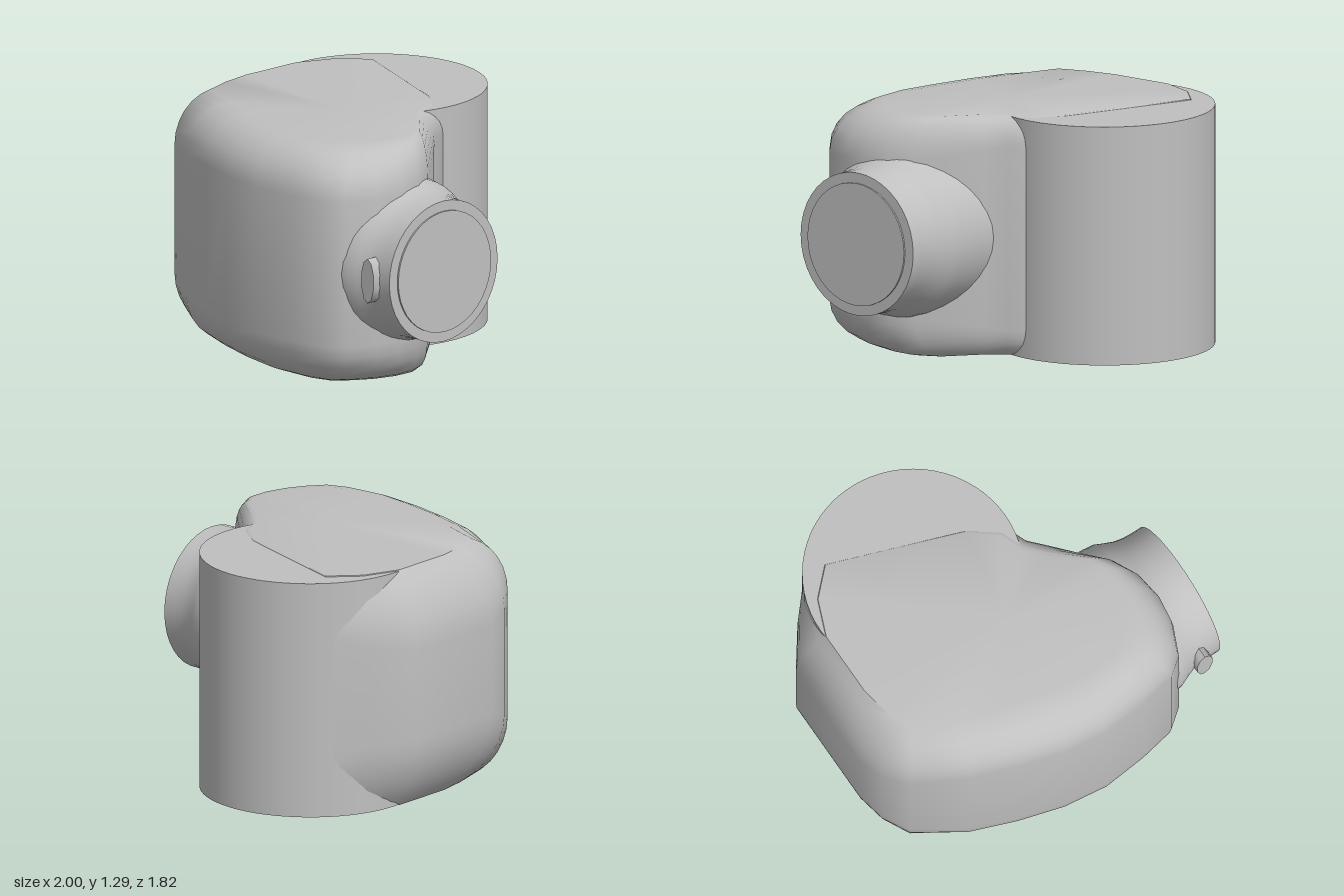
import * as THREE from 'three';
import { toCreasedNormals } from 'three/addons/utils/BufferGeometryUtils.js';

const H = 1.295;

// Plan stations: outer x, z | flat-top x, z | edge height | start angle of the edge arc in degrees
const STATIONS = [
  [-0.69, -0.72, -0.62, -0.62, 0.30, 45],
  [-0.85, -0.54, -0.76, -0.48, 0.38, 48],
  [-1.00, -0.33, -0.84, -0.28, 0.40, 50],
  [-1.00, 0.28, -0.84, 0.08, 0.40, 50],
  [-0.96, 0.43, -0.81, 0.25, 0.36, 35],
  [-0.87, 0.56, -0.76, 0.40, 0.30, 15],
  [-0.60, 0.72, -0.50, 0.50, 0.26, 0],
  [-0.35, 0.81, -0.28, 0.57, 0.25, 0],
  [-0.10, 0.88, -0.05, 0.62, 0.25, 0],
  [0.15, 0.908, 0.15, 0.66, 0.25, 0],
  [0.40, 0.88, 0.36, 0.65, 0.25, 0],
  [0.60, 0.84, 0.44, 0.61, 0.25, 0],
  [0.70, 0.76, 0.50, 0.52, 0.25, 0],
  [0.77, 0.60, 0.55, 0.44, 0.25, 0],
  [0.79, 0.45, 0.59, 0.33, 0.25, 0],
  [0.77, 0.31, 0.60, 0.22, 0.25, 0],
  [0.70, 0.18, 0.55, 0.12, 0.22, 0],
  [0.45, -0.09, 0.36, -0.03, 0.17, 0],
  [0.36, -0.18, 0.29, -0.11, 0.15, 0],
  [0.31, -0.30, 0.24, -0.24, 0.15, 0],
  [0.10, -0.40, 0.10, -0.36, 0.15, 0],
];

// Body: stacked plan outlines with rounded upper and lower edges
function bodyGeometry() {
  const STEPS = 6, n = STATIONS.length, pos = [], idx = [];
  const ring = (k, top) => STATIONS.forEach(([ox, oz, tx, tz, h, deg]) => {
    const t0 = THREE.MathUtils.degToRad(deg);
    const t = t0 + (Math.PI / 2 - t0) * k / STEPS;
    const f = (Math.sin(t) - Math.sin(t0)) / (1 - Math.sin(t0));
    const y = h * (1 - Math.cos(t) / Math.cos(t0));
    pos.push(tx + (ox - tx) * f, top ? H - y : y, tz + (oz - tz) * f);
  });
  for (let k = 0; k <= STEPS; k++) ring(k, false);
  for (let k = STEPS; k >= 0; k--) ring(k, true);
  const rows = 2 * STEPS + 2;
  for (let r = 0; r < rows - 1; r++) {
    for (let i = 0; i < n; i++) {
      const j = (i + 1) % n, a = r * n + i, b = r * n + j;
      idx.push(a, b, b + n, a, b + n, a + n);
    }
  }
  // flat bottom and top
  const c = pos.length / 3, last = (rows - 1) * n;
  pos.push(0, 0, 0.15, 0, H, 0.15);
  for (let i = 0; i < n; i++) {
    const j = (i + 1) % n;
    idx.push(c, j, i, c + 1, last + i, last + j);
  }
  const g = new THREE.BufferGeometry();
  g.setAttribute('position', new THREE.Float32BufferAttribute(pos, 3));
  g.setIndex(idx);
  return toCreasedNormals(g, 0.75);
}

export function createModel() {
  const group = new THREE.Group();
  const grey = new THREE.MeshStandardMaterial({ color: 0xc0c0c0 });
  grey.name = 'plain grey';

  const add = (name, geometry, x = 0, y = 0, z = 0) => {
    const mesh = new THREE.Mesh(geometry, grey);
    mesh.name = name;
    mesh.position.set(x, y, z);
    group.add(mesh);
    return mesh;
  };

  add('body', bodyGeometry());

  // Upright drum at the back
  add('drum', new THREE.CylinderGeometry(0.585, 0.585, 1.286, 64), -0.26, H / 2, -0.327);

  // Flared neck pointing left, ending in a flat rim
  const profile = [[0.47, 0.30], [0.455, 0.45], [0.447, 0.66], [0.44, 0.72], [0.418, 0.77],
    [0.398, 0.82], [0.388, 0.87], [0.385, 0.92], [0.385, 0.99], [0, 0.99]]
    .map(([r, x]) => new THREE.Vector2(r, x));
  const neck = toCreasedNormals(new THREE.LatheGeometry(profile, 40), 0.6);
  neck.rotateZ(-Math.PI / 2);
  add('neck', neck, 0, 0.65, 0.332);

  // Thin round plate on the end of the neck
  const plate = new THREE.CylinderGeometry(0.33, 0.33, 0.009, 40);
  plate.rotateZ(-Math.PI / 2);
  add('endPlate', plate, 0.9955, 0.65, 0.332);

  // Small tall button on the front of the neck
  const button = new THREE.CylinderGeometry(1, 1, 0.1, 10);
  button.rotateX(Math.PI / 2);
  button.scale(0.05, 0.122, 1);
  add('button', toCreasedNormals(button, 0.7), 0.865, 0.65, 0.71);

  return group;
}
